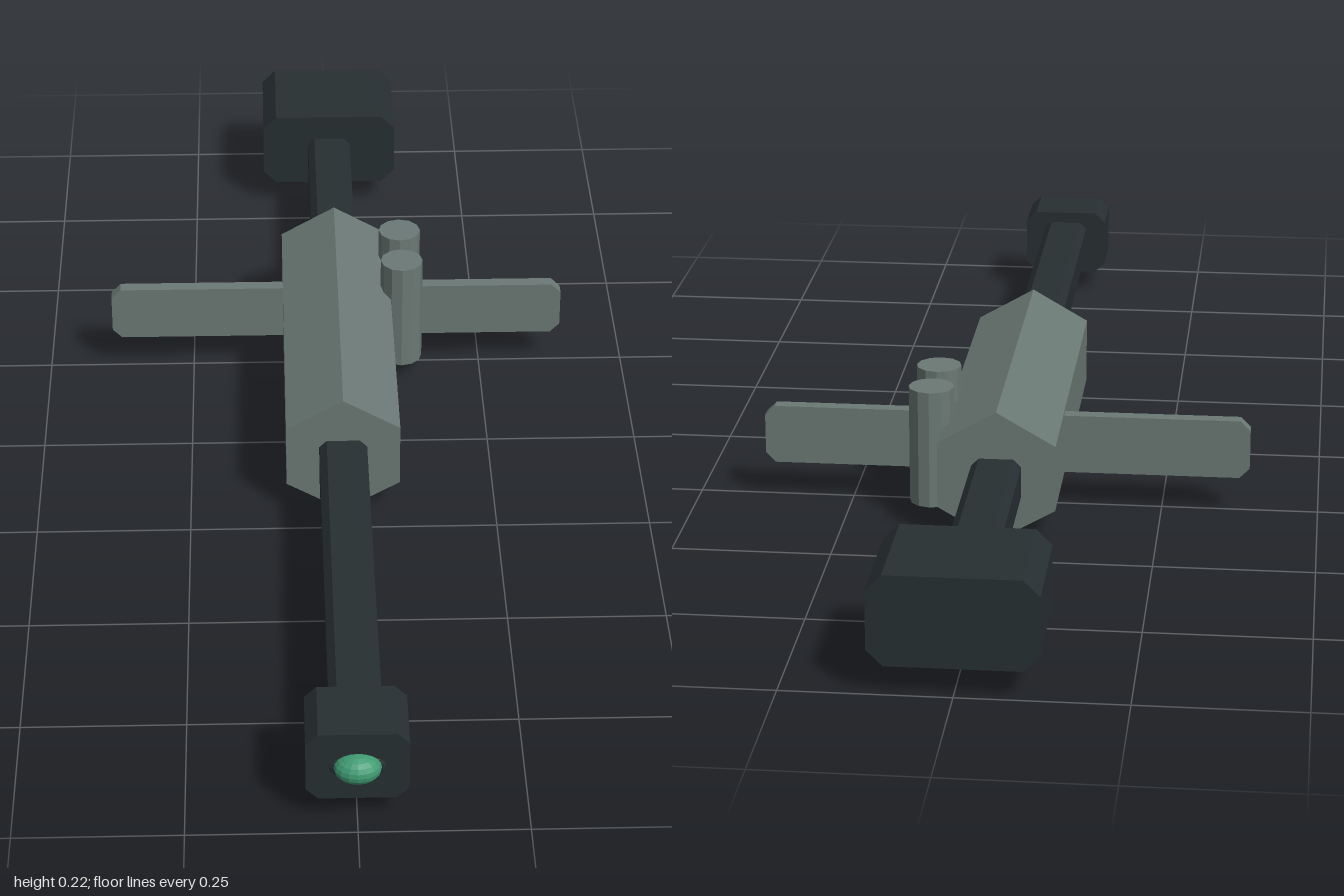
import * as THREE from 'three';

const material = (color) => new THREE.MeshStandardMaterial({ color, flatShading: true });

// Rectangle with cut corners, extruded along z from z0 to z1
function chamferedBar(w, y0, y1, cut, z0, z1) {
  const x = w / 2;
  const shape = new THREE.Shape([
    [x - cut, y0], [x, y0 + cut], [x, y1 - cut], [x - cut, y1],
    [cut - x, y1], [-x, y1 - cut], [-x, y0 + cut], [cut - x, y0],
  ].map(([px, py]) => new THREE.Vector2(px, py)));
  return new THREE.ExtrudeGeometry(shape, { depth: z1 - z0, bevelEnabled: false }).translate(0, 0, z0);
}

export function createModel() {
  const model = new THREE.Group();
  const grey = material(0x6b7975);
  const dark = material(0x272f32);
  const green = material(0x3f9a72);

  const add = (name, geometry, mat, x = 0, y = 0, z = 0) => {
    const mesh = new THREE.Mesh(geometry, mat);
    mesh.name = name;
    mesh.position.set(x, y, z);
    model.add(mesh);
    return mesh;
  };

  // Hexagonal body, points up and down
  const hull = new THREE.CylinderGeometry(0.107, 0.107, 0.62, 6).rotateX(Math.PI / 2);
  add('body', hull, grey, 0, 0.108, -0.11);

  // Long shaft with a block at each end
  add('shaft', chamferedBar(0.078, 0.064, 0.138, 0.012, -0.83, 0.88), dark);
  add('rearBlock', chamferedBar(0.246, 0.045, 0.183, 0.024, -1, -0.81), dark);
  add('frontBlock', chamferedBar(0.15, 0.04, 0.157, 0.018, 0.86, 0.97), dark);

  // Thin cross blade through the body
  add('crossBlade', chamferedBar(0.78, 0.061, 0.157, 0.016, -0.266, -0.244), grey);

  // Upright canisters on the left side
  for (const z of [-0.225, -0.327]) {
    add('canister', new THREE.CylinderGeometry(0.036, 0.036, 0.192, 12), grey, 0.112, 0.126, z);
  }

  // Lens and its socket on the front block
  const ball = new THREE.SphereGeometry(1, 16, 10);
  add('lensSocket', ball, dark, 0, 0.098, 0.968).scale.set(0.044, 0.021, 0.008);
  add('lens', ball, green, 0, 0.099, 0.972).scale.set(0.035, 0.023, 0.028);

  return model;
}
